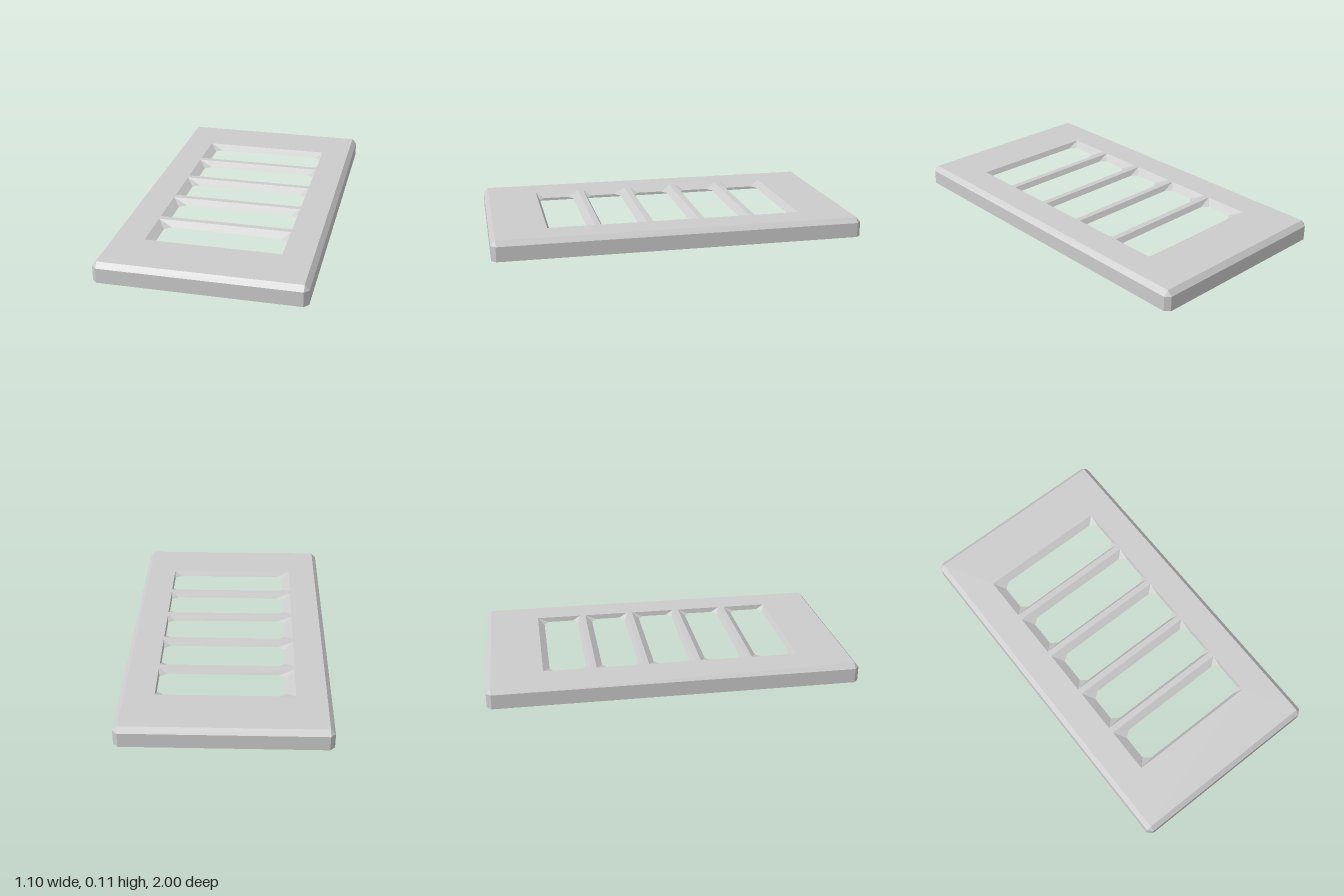
import * as THREE from 'three';

const TOP = 0.107, LEDGE = 0.08;

// Rectangle loop at height y with optionally cut corners, counter-clockwise from above
function ring(x0, x1, z0, z1, y, cx = 0, cz = 0) {
  return [
    [x0 + cx, z0], [x0, z0 + cz], [x0, z1 - cz], [x0 + cx, z1],
    [x1 - cx, z1], [x1, z1 - cz], [x1, z0 + cz], [x1 - cx, z0],
  ].map(([x, z]) => new THREE.Vector3(x, y, z));
}

// Flat-faced band between two loops; swapping the loops turns it inside out
function band(lower, upper) {
  const pos = [];
  const tri = (...p) => {
    if (new THREE.Triangle(...p).getArea() > 1e-7) p.forEach((v) => pos.push(v.x, v.y, v.z));
  };
  lower.forEach((a, i) => {
    const j = (i + 1) % lower.length;
    tri(a, lower[j], upper[j]);
    tri(a, upper[j], upper[i]);
  });
  const g = new THREE.BufferGeometry();
  g.setAttribute('position', new THREE.Float32BufferAttribute(pos, 3));
  g.computeVertexNormals();
  return g;
}

export function createModel() {
  const group = new THREE.Group();
  const material = new THREE.MeshStandardMaterial({
    color: 0xcccccc, flatShading: true, side: THREE.DoubleSide,
  });
  const add = (name, geometry) => {
    const mesh = new THREE.Mesh(geometry, material);
    mesh.name = name;
    group.add(mesh);
  };

  // Outer shell, open underneath
  const foot = ring(-0.548, 0.548, -1, 1, 0, 0.025, 0.025);
  const ledge = ring(-0.548, 0.548, -1, 1, LEDGE, 0.025, 0.025);
  const rim = ring(-0.523, 0.523, -0.975, 0.975, TOP);
  add('sideWalls', band(foot, ledge));
  add('bevel', band(ledge, rim));

  // Top plate with five slots, each with a sloping lip
  const corners = (loop) => loop.filter((_, i) => i % 2 === 0).map((v) => new THREE.Vector2(v.x, -v.z));
  const plate = new THREE.Shape(corners(rim));
  for (let i = -2; i <= 2; i++) {
    const z = i * 0.2855;
    const mouth = ring(-0.364, 0.364, z - 0.127, z + 0.126, TOP);
    const throat = ring(-0.318, 0.36, z - 0.09, z + 0.109, LEDGE, 0.038, 0.028);
    plate.holes.push(new THREE.Path(corners(mouth)));
    add('slotLip' + (i + 3), band(mouth, throat));
  }
  add('topPlate', new THREE.ShapeGeometry(plate).rotateX(-Math.PI / 2).translate(0, TOP, 0));

  return group;
}
